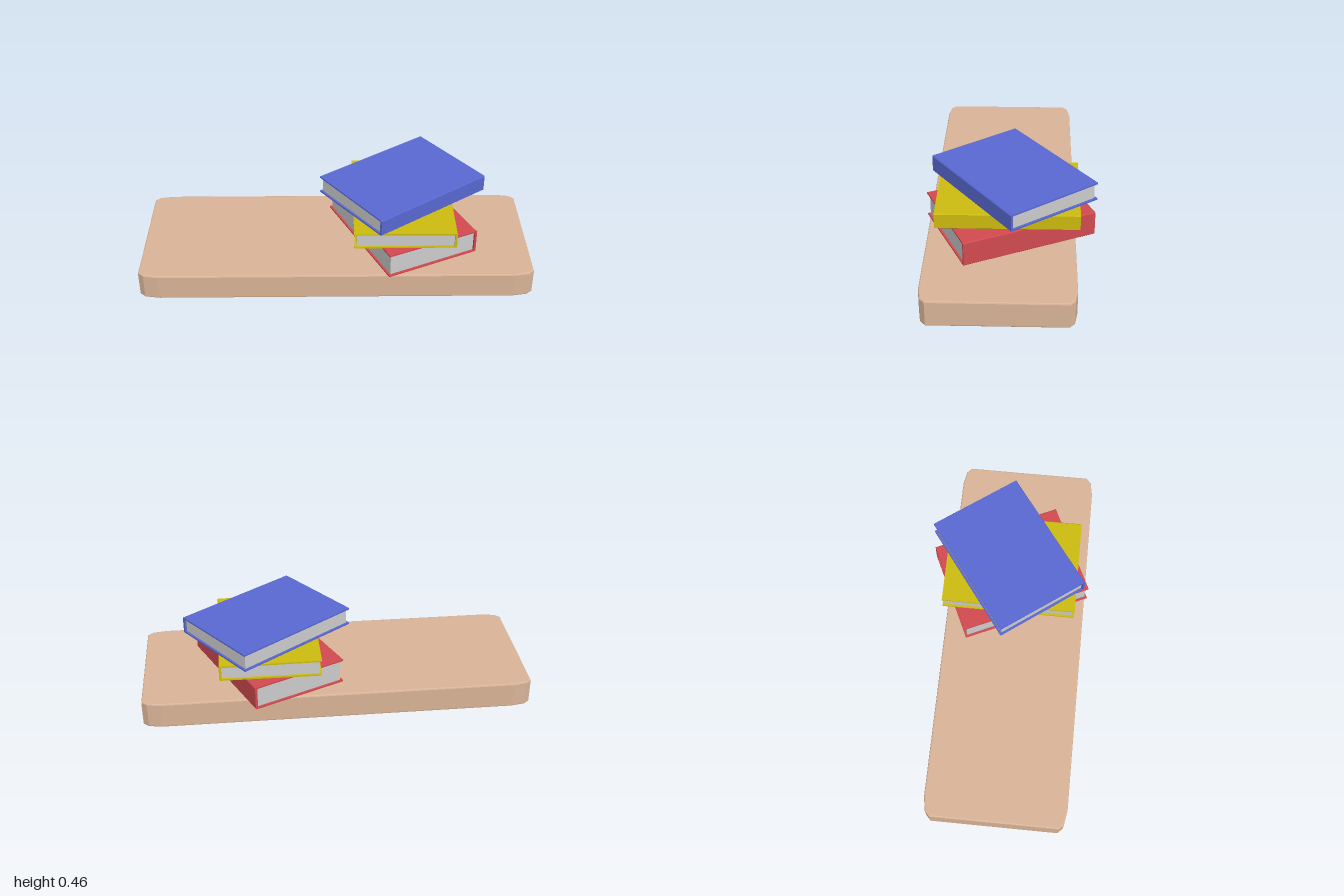
import * as THREE from 'three';

const paint = (color) => new THREE.MeshStandardMaterial({ color });

// Tabletop slab: rectangle with two-step rounded corners and softened edges
function makeSlab() {
  const hx = 1, hz = 0.367, height = 0.137, bevel = 0.007;
  const corner = [[hx, hz - 0.037], [hx - 0.028, hz - 0.012], [hx - 0.1, hz]];
  const points = [];
  for (const [sx, sz] of [[1, 1], [-1, 1], [-1, -1], [1, -1]]) {
    const ordered = sx * sz > 0 ? corner : [...corner].reverse();
    for (const [x, z] of ordered) points.push(new THREE.Vector2(sx * x, sz * z));
  }
  const geometry = new THREE.ExtrudeGeometry(new THREE.Shape(points), {
    depth: height - 2 * bevel, bevelThickness: bevel, bevelSize: bevel, bevelOffset: -bevel, bevelSegments: 2,
  });
  geometry.rotateX(-Math.PI / 2);
  geometry.translate(0, bevel, 0);
  const slab = new THREE.Mesh(geometry, paint(0xd9b497));
  slab.name = 'slab';
  slab.position.z = 0.04;
  return slab;
}

// Book lying flat with its spine on +x; the cover is a C-shaped section
function makeBook({ name, color, width, length, bottom, top, x, z, turn }) {
  const book = new THREE.Group();
  book.name = name;
  const w = width / 2, h = (top - bottom) / 2;
  const board = 0.008, spine = 0.012, flare = 0.003, round = 0.004;

  const section = new THREE.Shape();
  section.moveTo(-w, -h);
  section.lineTo(w - round, -h + flare);
  section.lineTo(w, -h + flare + round);
  section.lineTo(w, h - flare - round);
  section.lineTo(w - round, h - flare);
  section.lineTo(-w, h);
  section.lineTo(-w, h - board);
  section.lineTo(w - spine, h - flare - board);
  section.lineTo(w - spine, -h + flare + board);
  section.lineTo(-w, -h + board);
  section.closePath();
  const coverGeometry = new THREE.ExtrudeGeometry(section, { depth: length, bevelEnabled: false });
  coverGeometry.translate(0, 0, -length / 2);
  const cover = new THREE.Mesh(coverGeometry, paint(color));
  cover.name = 'cover';

  // Page block, set back from the three open edges
  const inset = 0.011;
  const pages = new THREE.Mesh(
    new THREE.BoxGeometry(width - inset - spine, 2 * (h - board), length - 2 * inset),
    paint(0xcccccc),
  );
  pages.name = 'pages';
  pages.position.x = (inset - spine) / 2;

  book.add(cover, pages);
  book.position.set(x, (top + bottom) / 2, z);
  book.rotation.y = turn;
  return book;
}

export function createModel() {
  const model = new THREE.Group();
  model.name = 'booksOnSlab';
  model.add(makeSlab());
  const books = [
    { name: 'bottomBook', color: 0xd04a4f, width: 0.505, length: 0.695, bottom: 0.137, top: 0.269, x: 0.347, z: 0, turn: 0.435 },
    { name: 'middleBook', color: 0xccbb10, width: 0.51, length: 0.697, bottom: 0.267, top: 0.355, x: 0.347, z: 0.006, turn: 0 },
    { name: 'topBook', color: 0x5868d0, width: 0.507, length: 0.688, bottom: 0.366, top: 0.46, x: 0.347, z: -0.016, turn: -0.935 },
  ];
  for (const spec of books) model.add(makeBook(spec));
  return model;
}
